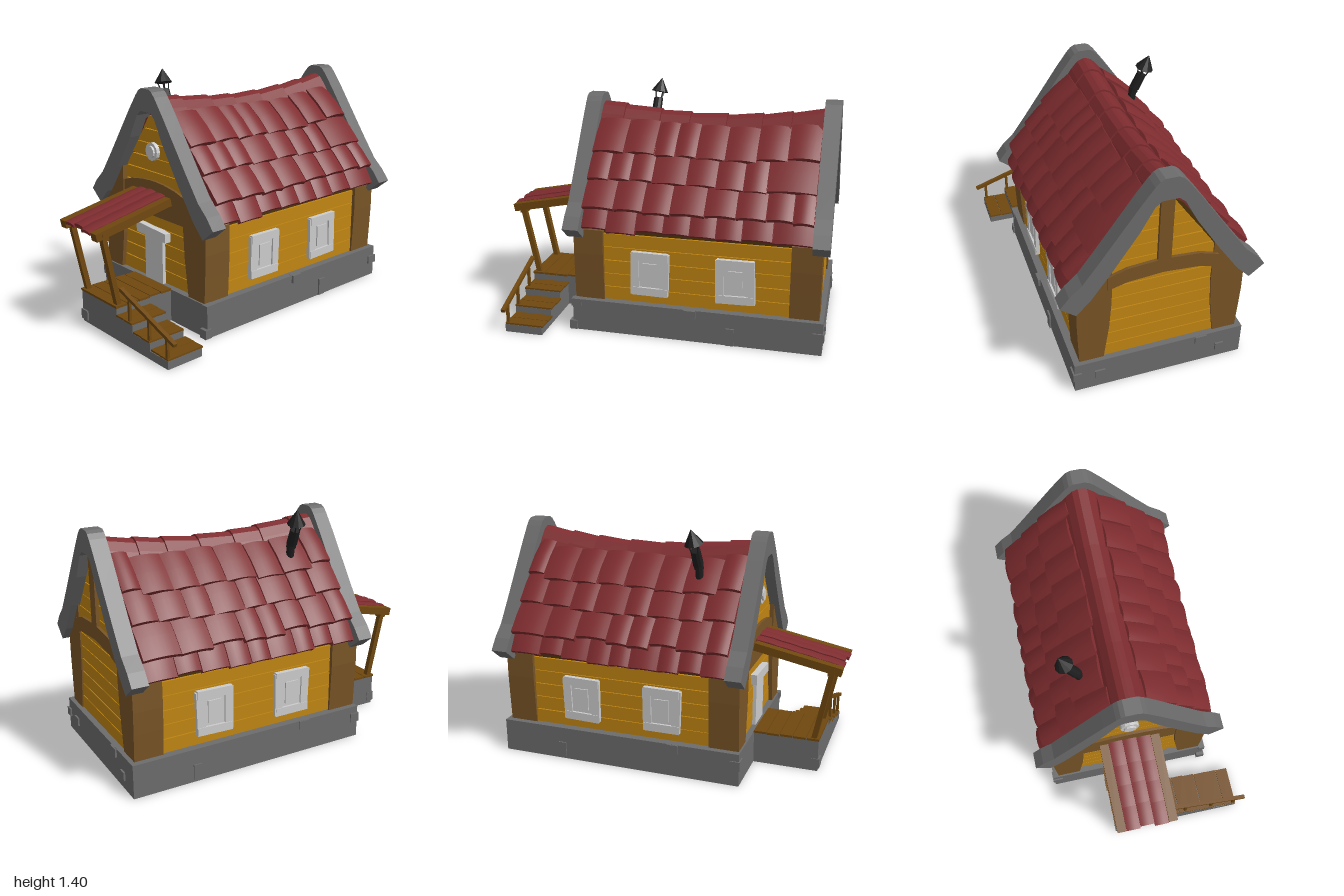
import * as THREE from 'three';

const mat = (color, flat = true) => new THREE.MeshStandardMaterial({ color, flatShading: flat });
const STONE = mat(0x6c6c6c), WALL = mat(0xc08512), GAP = mat(0x4a320c), TIMBER = mat(0x785426),
  PORCH = mat(0x70480f), TILE = mat(0x7e2c2f, false), IRON = mat(0x1e1e1e), PALE = mat(0xcccccc);

let seed = 7;
const rnd = (a, b) => {
  seed = (seed * 16807) % 2147483647;
  return a + (b - a) * (seed / 2147483647);
};
const V = (x, y, z) => new THREE.Vector3(x, y, z);

function add(parent, name, geo, material) {
  const m = new THREE.Mesh(geo, material);
  m.name = name;
  parent.add(m);
  return m;
}
// box given by its limits
function box(parent, name, material, x0, x1, y0, y1, z0, z1) {
  const m = add(parent, name, new THREE.BoxGeometry(x1 - x0, y1 - y0, z1 - z0), material);
  m.position.set((x0 + x1) / 2, (y0 + y1) / 2, (z0 + z1) / 2);
  return m;
}
// square bar between two points
function beam(parent, name, material, a, b, w, h) {
  const m = new THREE.Mesh(new THREE.BoxGeometry(w, h, a.distanceTo(b)), material);
  m.name = name;
  m.position.copy(a).lerp(b, 0.5);
  m.lookAt(b);
  parent.add(m);
  return m;
}
// round bar between two points
function pipe(parent, name, a, b, ra, rb, n = 10) {
  const m = add(parent, name, new THREE.CylinderGeometry(rb, ra, a.distanceTo(b), n), IRON);
  m.position.copy(a).lerp(b, 0.5);
  m.quaternion.setFromUnitVectors(V(0, 1, 0), b.clone().sub(a).normalize());
}
function slab(parent, name, material, pts, z0, z1) {
  const shape = new THREE.Shape(pts.map(p => new THREE.Vector2(p[0], p[1])));
  const geo = new THREE.ExtrudeGeometry(shape, { depth: z1 - z0, bevelEnabled: false });
  geo.translate(0, 0, z0);
  return add(parent, name, geo, material);
}
const sym = pts => [...pts, ...pts.map(([x, y]) => [-x, y]).reverse()];

// bent roof tile: tip is the middle of its lower edge, down is the slope direction
function tile(parent, name, w, len, thick, bulge, tip, down, normal) {
  const geo = new THREE.BoxGeometry(w, thick, len, 6, 1, 2);
  const p = geo.attributes.position;
  for (let i = 0; i < p.count; i++) {
    const u = (2 * p.getX(i)) / w, s = (2 * p.getZ(i)) / len;
    p.setY(i, p.getY(i) - bulge * u * u + bulge * 0.5 * (1 - s * s));
  }
  geo.translate(0, 0, -len / 2);
  geo.computeVertexNormals();
  const m = add(parent, name, geo, TILE);
  const side = new THREE.Vector3().crossVectors(normal, down);
  m.quaternion.setFromRotationMatrix(new THREE.Matrix4().makeBasis(side, normal, down));
  m.position.copy(tip);
}

const sag = z => -0.055 * Math.sin(Math.PI * (0.42 - z) / 1.32);

function buildWalls(house) {
  slab(house, 'wallCore', GAP, sym([[0.44, 0.19], [0.44, 0.64], [0.285, 0.87], [0.1, 1.14], [0.02, 1.2]]), -0.93, 0.44);
  const half = y => y < 0.62 ? 0.44 : Math.max(0.02, 0.44 - (y - 0.62) * 0.70);
  // planks on the gable walls and long walls
  for (let y = 0.195; y < 1.17; y += 0.083) {
    const a = y + 0.003, b = y + 0.083;
    for (const [z0, z1] of [[0.43, 0.457], [-0.947, -0.92]]) {
      const t = rnd(-0.004, 0.004);
      slab(house, 'gablePlank', WALL, [[-half(a), a + t], [half(a), a - t], [half(b), b - 0.002], [-half(b), b - 0.002]], z0, z1);
    }
    if (y < 0.6) for (const s of [1, -1]) {
      const m = box(house, 'sidePlank', WALL, s * 0.44 - 0.015, s * 0.44 + 0.015, a, Math.min(b - 0.001, 0.66), -0.9, 0.43);
      m.rotation.x = rnd(-0.003, 0.003);
    }
  }
  // heavy corner posts
  const post = [[0.465, 0.195], [0.472, 0.35], [0.477, 0.48], [0.475, 0.63], [0.285, 0.86], [0.283, 0.6], [0.295, 0.42], [0.325, 0.195]];
  for (const s of [1, -1]) {
    const pts = post.map(([x, y]) => [s * x, y]);
    slab(house, 'frontCornerPost', TIMBER, pts, 0.305, 0.482);
    slab(house, 'backCornerPost', TIMBER, pts, -0.955, -0.785);
  }
  // arched collar beams and back king post
  slab(house, 'frontCollarBeam', TIMBER, sym([[0.3, 0.6], [0.3, 0.76], [0.2, 0.79], [0.1, 0.805], [0.02, 0.81]]), 0.44, 0.474);
  slab(house, 'backCollarBeam', TIMBER, sym([[0.01, 0.735], [0.2, 0.72], [0.31, 0.69], [0.31, 0.775], [0.2, 0.81], [0.01, 0.825]]), -0.965, -0.93);
  box(house, 'backKingPost', TIMBER, -0.037, 0.037, 0.8, 1.23, -0.965, -0.93);
}

function buildOpenings(house) {
  // shuttered windows on both long walls
  for (const s of [1, -1]) for (const zc of [0.025, -0.475]) {
    const w = new THREE.Group();
    w.name = 'window';
    w.position.set(s * 0.455, 0.385, zc);
    w.rotation.y = s * Math.PI / 2;
    house.add(w);
    box(w, 'windowPanel', PALE, -0.1, 0.1, -0.12, 0.12, 0, 0.014);
    for (const k of [1, -1]) {
      box(w, 'windowSideBoard', PALE, k * 0.088 - 0.025, k * 0.088 + 0.025, -0.13, 0.125, 0, 0.024).rotation.z = rnd(-0.04, 0.04);
      box(w, 'windowCrossBoard', PALE, -0.108, 0.108, k * 0.108 - 0.024, k * 0.108 + 0.024, 0, 0.028).rotation.z = rnd(-0.03, 0.03);
    }
    box(w, 'windowPane', PALE, -0.042, 0.042, -0.065, 0.065, 0, 0.022);
  }
  // door with crooked lintel
  box(house, 'door', PALE, -0.082, 0.085, 0.195, 0.48, 0.44, 0.478);
  slab(house, 'doorLintel', PALE, [[-0.14, 0.475], [0.135, 0.468], [0.135, 0.522], [-0.145, 0.538]], 0.44, 0.495);
  // round attic window
  for (const [name, r, d] of [['roundWindowFrame', 0.054, 0.03], ['roundWindowPane', 0.036, 0.042]]) {
    const m = add(house, name, new THREE.CylinderGeometry(r, r, d, 12), PALE);
    m.rotation.x = Math.PI / 2;
    m.position.set(0, 0.985, 0.45 + d / 2);
  }
}

function buildRoof(house) {
  slab(house, 'roofDeck', TILE, sym([[0.01, 1.2], [0.1, 1.16], [0.2, 1.03], [0.3, 0.9], [0.42, 0.75], [0.5, 0.66],
    [0.46, 0.642], [0.38, 0.7], [0.26, 0.84], [0.08, 1.1], [0.01, 1.14]]), -0.92, 0.44);
  // curved gable boards
  const verge = sym([[0.035, 1.35], [0.06, 1.337], [0.085, 1.31], [0.155, 1.215], [0.255, 1.07], [0.355, 0.925], [0.455, 0.785], [0.525, 0.72], [0.575, 0.655],
    [0.49, 0.585], [0.41, 0.67], [0.285, 0.85], [0.155, 1.05], [0.08, 1.19], [0.045, 1.22]]);
  slab(house, 'frontGableBoard', STONE, verge, 0.42, 0.515);
  slab(house, 'backGableBoard', STONE, verge, -0.995, -0.9).position.y = 0.008;
  // overlapping tile rows: upper and lower edge in (x, y)
  const rows = [[0.41, 0.81, 0.522, 0.655], [0.34, 0.935, 0.5, 0.782], [0.23, 1.08, 0.388, 0.928], [0.11, 1.215, 0.277, 1.072]];
  for (const s of [1, -1]) for (const [x0, y0, x1, y1] of rows) {
    const down = V(s * (x1 - x0), y1 - y0, 0);
    const len = down.length();
    down.normalize();
    const normal = V(-s * down.y, s * down.x, 0);
    for (let z = 0.42; z > -0.87;) {
      let w = rnd(0.12, 0.2);
      if (z - w < -0.8) w = z + 0.9;
      const zc = z - w / 2, slip = rnd(-0.015, 0.015);
      const tip = V(s * x1, y1 + sag(zc) * (y1 - 0.64) / 0.6, zc).addScaledVector(down, slip);
      tile(house, 'roofTile', w - 0.004, len + 0.02, 0.028, 0.014, tip, down, normal);
      z -= w;
    }
  }
  // sagging ridge caps
  const cap = sym([[0.01, 1.295], [0.045, 1.28], [0.085, 1.235], [0.142, 1.15], [0.118, 1.135], [0.06, 1.22], [0.01, 1.25]]);
  const ends = [0.42, 0.28, 0.06, -0.12, -0.34, -0.55, -0.72, -0.9];
  for (let i = 0; i < 7; i++) {
    const m = slab(house, 'ridgeCap', TILE, cap, ends[i + 1] + 0.003, ends[i]);
    const p = m.geometry.attributes.position;
    for (let k = 0; k < p.count; k++) p.setY(k, p.getY(k) + sag(p.getZ(k)) + (p.getZ(k) > ends[i] - 0.01 ? 0.004 : 0.014));
    m.geometry.computeVertexNormals();
  }
}

function buildChimney(root) {
  const g = new THREE.Group();
  g.name = 'chimney';
  root.add(g);
  pipe(g, 'lowerPipe', V(-0.25, 0.98, 0.17), V(-0.287, 1.19, 0.165), 0.025, 0.023);
  pipe(g, 'pipeCollar', V(-0.284, 1.165, 0.166), V(-0.29, 1.195, 0.165), 0.028, 0.028);
  pipe(g, 'upperPipe', V(-0.293, 1.19, 0.165), V(-0.333, 1.278, 0.16), 0.031, 0.029);
  for (let i = 0; i < 4; i++) {
    const a = i * Math.PI / 2 + 0.6, c = Math.cos(a), s = Math.sin(a);
    pipe(g, 'capStrut', V(-0.331 + c * 0.022, 1.27 - c * -0.01, 0.16 + s * 0.022), V(-0.349 + c * 0.033, 1.322 + c * 0.018, 0.155 + s * 0.033), 0.004, 0.004, 5);
  }
  pipe(g, 'cap', V(-0.348, 1.317, 0.156), V(-0.371, 1.4, 0.145), 0.054, 0.001);
}

function buildBase(root) {
  box(root, 'foundation', STONE, -0.555, 0.445, 0, 0.196, -0.98, 0.492);
  box(root, 'porchBase', STONE, -0.225, 0.12, 0, 0.192, 0.48, 0.875);
  // protruding stones
  for (const [x, y, z, w, h, d] of [[-0.53, 0.125, 0.47, 0.065, 0.055, 0.06], [-0.198, 0.048, 0.86, 0.062, 0.058, 0.05],
    [0.43, 0.175, 0.47, 0.04, 0.045, 0.06], [0.44, 0.173, -0.22, 0.04, 0.048, 0.068], [0.44, 0.055, -0.455, 0.03, 0.105, 0.05],
    [0.43, 0.03, 0.49, 0.05, 0.055, 0.045], [0.43, 0.11, -0.955, 0.05, 0.05, 0.07], [-0.545, 0.06, -0.6, 0.035, 0.09, 0.05],
    [-0.545, 0.17, 0.1, 0.035, 0.05, 0.07], [-0.3, 0.17, -0.975, 0.07, 0.05, 0.03], [0.3, 0.1, -0.975, 0.06, 0.05, 0.03], [-0.42, 0.08, -0.975, 0.05, 0.05, 0.03]])
    box(root, 'baseStone', STONE, x - w / 2, x + w / 2, y - h / 2, y + h / 2, z - d / 2, z + d / 2);
  // deck boards
  for (let i = 0; i < 5; i++) {
    const z = 0.492 + i * 0.078, e = rnd(0, 0.012);
    box(root, 'deckBoard', PORCH, -0.238 + e, 0.118 + e, 0.19, 0.203, z, z + 0.074);
  }
  // side steps, two treads each
  [[0.12, 0.142], [0.275, 0.094], [0.43, 0.048]].forEach(([x, y]) => {
    box(root, 'stepStone', STONE, x - 0.01, x + 0.148, 0, y, 0.645, 0.875);
    for (let k = 0; k < 2; k++) {
      const t = x - 0.005 + k * 0.078, e = rnd(0, 0.01);
      box(root, 'stepTread', PORCH, t, t + 0.074, y, y + 0.01, 0.635 + e, 0.87 + e);
    }
  });
  // handrail
  beam(root, 'handrail', PORCH, V(0.155, 0.315, 0.863), V(0.625, 0.153, 0.863), 0.024, 0.02);
  for (const [x, y0, y1] of [[0.232, 0.15, 0.29], [0.407, 0.1, 0.23], [0.56, 0.055, 0.175]])
    box(root, 'railPost', PORCH, x - 0.008, x + 0.008, y0, y1, 0.855, 0.871);
}

function buildPorchRoof(root) {
  for (const x of [-0.21, 0.097]) {
    beam(root, 'porchPost', PORCH, V(x + (x < 0 ? 0.005 : -0.005), 0.195, 0.845), V(x, 0.64, 0.935), 0.033, 0.03);
    beam(root, 'porchBeam', PORCH, V(x, 0.724, 0.48), V(x, 0.624, 0.985), 0.052, 0.046);
    box(root, 'porchBeamBlock', PORCH, x - 0.027, x + 0.027, 0.597, 0.645, 0.905, 0.945);
  }
  beam(root, 'porchRoofBoard', PORCH, V(-0.057, 0.722, 0.49), V(-0.057, 0.629, 0.96), 0.27, 0.015);
  const down = V(0, -0.2, 0.98).normalize(), normal = V(0, 0.98, 0.2).normalize();
  for (let r = 0; r < 4; r++) for (let c = 0; c < 3; c++) {
    const z = 0.99 - r * 0.12 + rnd(-0.015, 0.01);
    tile(root, 'porchTile', 0.083, 0.16, 0.018, 0.007, V(-0.141 + c * 0.084, 0.643 + (0.99 - z) * 0.21 + (c === 1 ? 0.006 : 0), z), down, normal);
  }
}

export function createModel() {
  seed = 7;
  const root = new THREE.Group();
  root.name = 'cottage';
  const house = new THREE.Group();
  house.name = 'house';
  house.position.x = -0.055;
  root.add(house);
  buildWalls(house);
  buildOpenings(house);
  buildRoof(house);
  buildChimney(root);
  buildBase(root);
  buildPorchRoof(root);
  return root;
}
